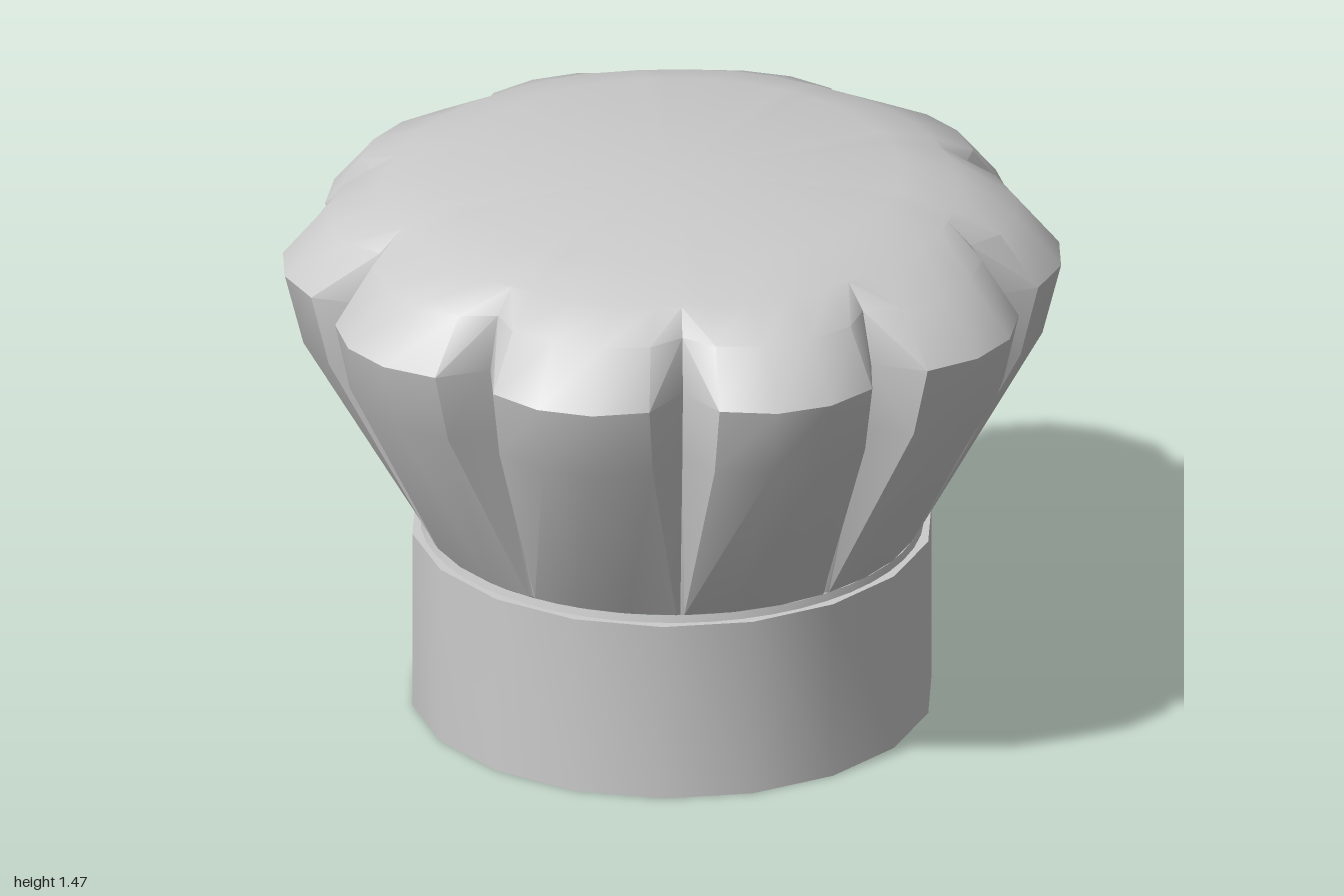
import * as THREE from 'three';
import { toCreasedNormals } from 'three/addons/utils/BufferGeometryUtils.js';

const material = new THREE.MeshStandardMaterial({ color: 0xcccccc });
const LOBES = 10;
const CREASE = 0.6;

function addPart(group, name, geometry) {
  const mesh = new THREE.Mesh(toCreasedNormals(geometry, CREASE), material);
  mesh.name = name;
  group.add(mesh);
}

// Puffed crown: rings of ten lobes, each with four rim points and one pleat point.
function crownGeometry() {
  // height, lobe radius, lobe edge radius, lobe half angle (degrees), pleat radius
  const rings = [
    [0.505, 0.645, 0.645, 17.1, 0.638],
    [1.03, 0.955, 0.915, 13.0, 0.80],
    [1.22, 1.003, 0.96, 12.6, 0.835],
    [1.36, 0.885, 0.86, 12.4, 0.80],
    [1.42, 0.745, 0.742, 13.0, 0.74],
    [1.465, 0.59, 0.59, 12.6, 0.59],
  ];
  const positions = [];
  const indices = [];
  const columns = LOBES * 5;
  for (const [y, lobe, edge, half, pleat] of rings) {
    for (let i = 0; i < LOBES; i++) {
      const points = [[-half, edge], [-half / 3, lobe], [half / 3, lobe], [half, edge], [18, pleat]];
      for (const [offset, r] of points) {
        // angle runs from +z towards +x
        const a = THREE.MathUtils.degToRad(18 + i * 36 + offset);
        positions.push(r * Math.sin(a), y, r * Math.cos(a));
      }
    }
  }
  for (let j = 0; j < rings.length - 1; j++) {
    for (let i = 0; i < columns; i++) {
      const next = (i + 1) % columns;
      const a = j * columns + i, b = j * columns + next;
      const c = a + columns, d = b + columns;
      // mirror the diagonal on either side of each pleat
      if (i % 5 === 4) indices.push(a, b, c, b, d, c);
      else indices.push(a, b, d, a, d, c);
    }
  }
  // top cap
  const last = (rings.length - 1) * columns;
  const centre = positions.length / 3;
  positions.push(0, 1.468, 0);
  for (let i = 0; i < columns; i++) indices.push(last + i, last + (i + 1) % columns, centre);

  const geometry = new THREE.BufferGeometry();
  geometry.setAttribute('position', new THREE.Float32BufferAttribute(positions, 3));
  geometry.setIndex(indices);
  return geometry;
}

export function createModel() {
  const group = new THREE.Group();
  group.name = 'pleatedHat';

  // Hollow head band with a closed ceiling inside
  const bandProfile = [[0, 0.36], [0.605, 0.36], [0.605, 0], [0.675, 0], [0.675, 0.485], [0.62, 0.485]]
    .map(([r, y]) => new THREE.Vector2(r, y));
  addPart(group, 'headBand', new THREE.LatheGeometry(bandProfile, 18));

  // Thin collar between band and crown
  const collar = new THREE.CylinderGeometry(0.645, 0.652, 0.035, 50, 1, true);
  collar.translate(0, 0.4875, 0);
  addPart(group, 'collar', collar);

  addPart(group, 'crown', crownGeometry());
  return group;
}
